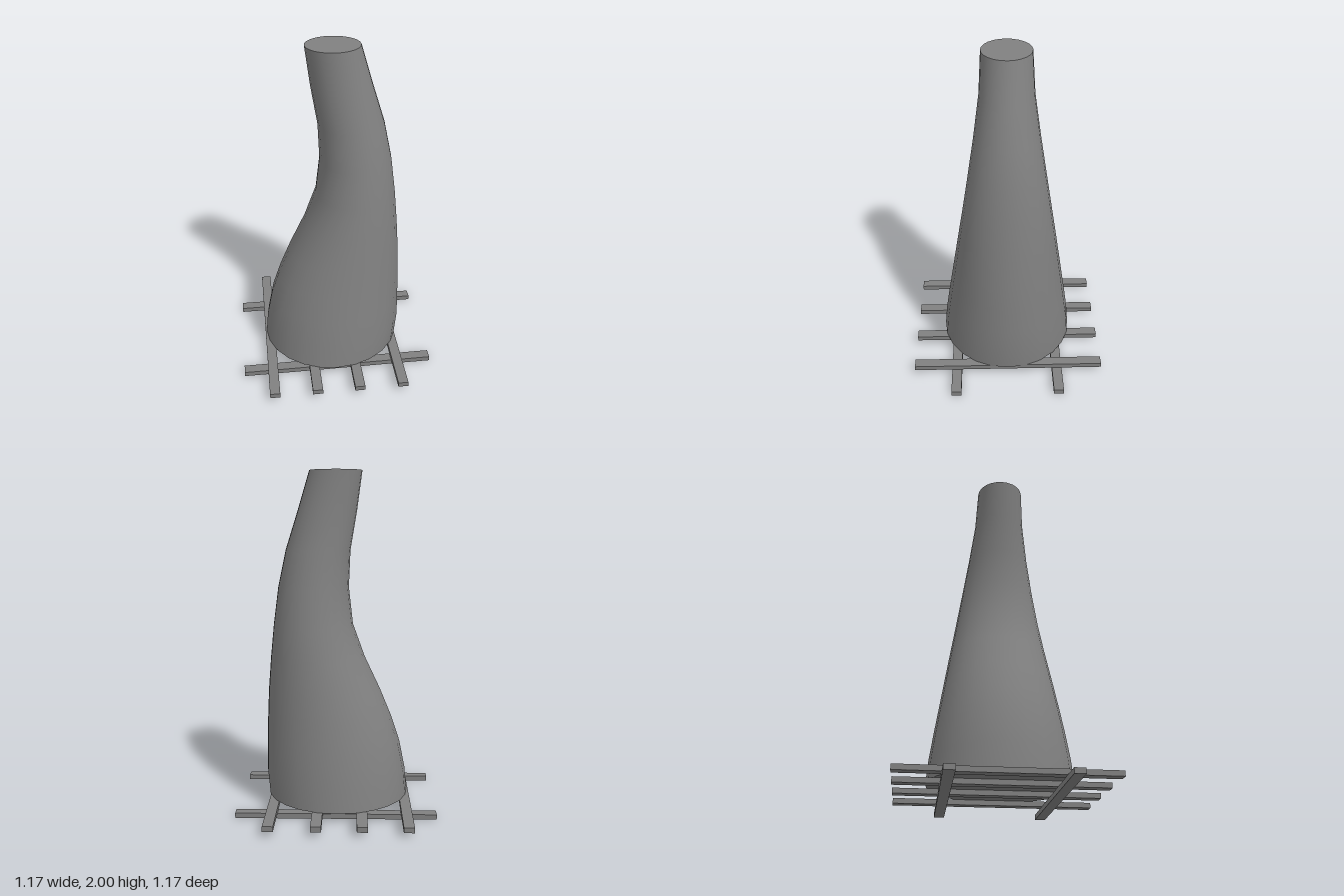
import * as THREE from 'three';

const material = new THREE.MeshStandardMaterial({ color: 0x808080 });
const SEGMENTS = 24;

// Cross-sections of the trunk: height, left edge x, right edge x, half depth
const SECTIONS = [
  [0.06, -0.432, 0.418, 0.409],
  [0.20, -0.419, 0.431, 0.396],
  [0.37, -0.385, 0.428, 0.371],
  [0.53, -0.332, 0.424, 0.346],
  [0.70, -0.262, 0.416, 0.32],
  [0.90, -0.168, 0.4, 0.289],
  [1.10, -0.096, 0.38, 0.257],
  [1.32, -0.071, 0.351, 0.222],
  [1.54, -0.08, 0.304, 0.187],
  [1.77, -0.118, 0.231, 0.154],
  [2.00, -0.148, 0.162, 0.141],
];

// Smooth skin lofted through the elliptical sections
function loftGeometry() {
  const positions = [];
  const index = [];
  for (const [y, x0, x1, depth] of SECTIONS) {
    for (let i = 0; i < SEGMENTS; i++) {
      const a = (i / SEGMENTS) * Math.PI * 2;
      positions.push((x0 + x1) / 2 + ((x1 - x0) / 2) * Math.cos(a), y, depth * Math.sin(a));
    }
  }
  for (let r = 0; r < SECTIONS.length - 1; r++) {
    for (let i = 0; i < SEGMENTS; i++) {
      const j = (i + 1) % SEGMENTS;
      const a = r * SEGMENTS + i, b = r * SEGMENTS + j;
      const c = a + SEGMENTS, d = b + SEGMENTS;
      index.push(a, c, b, b, c, d);
    }
  }
  const geometry = new THREE.BufferGeometry();
  geometry.setAttribute('position', new THREE.Float32BufferAttribute(positions, 3));
  geometry.setIndex(index);
  geometry.computeVertexNormals();
  return geometry;
}

function addMesh(parent, name, geometry) {
  const mesh = new THREE.Mesh(geometry, material);
  mesh.name = name;
  parent.add(mesh);
  return mesh;
}

// Flat elliptical end of the trunk, facing up or down
function addCap(parent, name, [y, x0, x1, depth], up) {
  const cap = addMesh(parent, name, new THREE.CircleGeometry(1, SEGMENTS));
  cap.scale.set((x1 - x0) / 2, depth, 1);
  cap.rotation.x = up ? -Math.PI / 2 : Math.PI / 2;
  cap.position.set((x0 + x1) / 2, y, 0);
}

export function createModel() {
  const model = new THREE.Group();
  model.name = 'curvedTrunkOnGrate';

  // Bent, tapering trunk
  const trunk = new THREE.Group();
  trunk.name = 'trunk';
  addMesh(trunk, 'trunkSkin', loftGeometry());
  addCap(trunk, 'trunkTop', SECTIONS[SECTIONS.length - 1], true);
  addCap(trunk, 'trunkBottom', SECTIONS[0], false);
  model.add(trunk);

  // Grate: two lower bars across, four upper bars front to back
  const grate = new THREE.Group();
  grate.name = 'grate';
  for (const z of [-0.307, 0.322]) {
    addMesh(grate, 'lowerBar', new THREE.BoxGeometry(1.174, 0.03, 0.061)).position.set(0, 0.015, z);
  }
  for (const x of [-0.41, -0.152, 0.105, 0.37]) {
    addMesh(grate, 'upperBar', new THREE.BoxGeometry(0.061, 0.03, 1.174)).position.set(x, 0.045, 0);
  }
  model.add(grate);

  return model;
}
